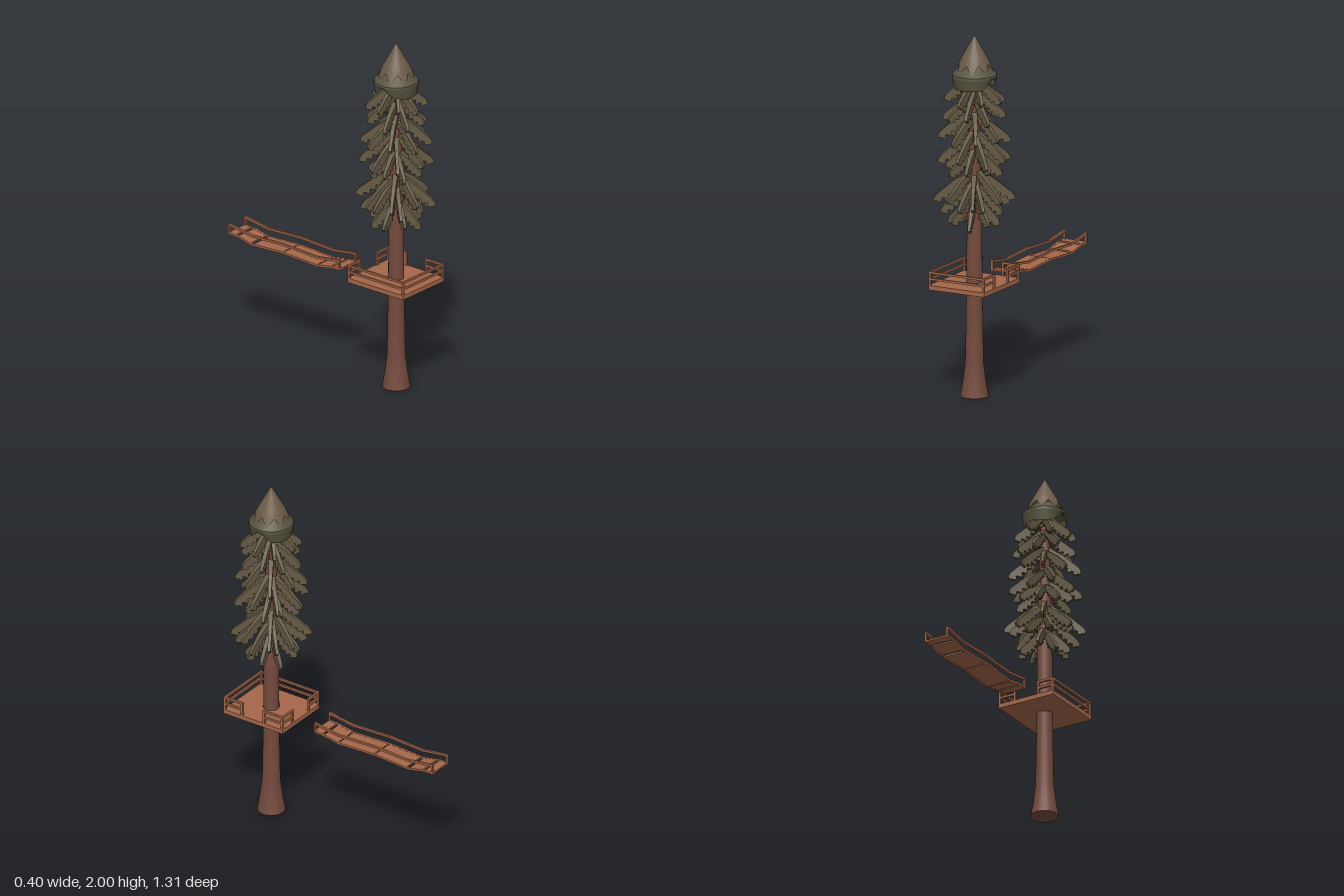
import * as THREE from 'three';

const mat = (color, extra = {}) => new THREE.MeshStandardMaterial({ color, ...extra });
const barkMat = mat(0x744a3e);
const woodMat = mat(0xa5674a);
const needleMat = mat(0x665b46, { flatShading: true });
const crownMat = mat(0x6b5a47, { flatShading: true, side: THREE.DoubleSide });
const collarMat = mat(0x55523e, { flatShading: true, side: THREE.DoubleSide });
const TREE_Z = 0.445;

function add(parent, name, geometry, material) {
  const mesh = new THREE.Mesh(geometry, material);
  mesh.name = name;
  parent.add(mesh);
  return mesh;
}

// Square bar between two points
function bar(parent, name, a, b, w = 0.012, h = w) {
  const from = new THREE.Vector3(...a), to = new THREE.Vector3(...b);
  const mesh = add(parent, name, new THREE.BoxGeometry(w, h, from.distanceTo(to)), woodMat);
  mesh.position.copy(from).lerp(to, 0.5);
  mesh.lookAt(to);
  return mesh;
}

// Ring surface: each row gives radius and height for an angle
function ringSurface(rows, segments) {
  const pos = [], idx = [];
  rows.forEach((row) => {
    for (let i = 0; i <= segments; i++) {
      const a = (i / segments) * Math.PI * 2;
      const [r, y] = row(a);
      pos.push(Math.cos(a) * r, y, Math.sin(a) * r);
    }
  });
  const n = segments + 1;
  for (let j = 0; j < rows.length - 1; j++) {
    for (let i = 0; i < segments; i++) {
      const p = j * n + i;
      idx.push(p, p + 1, p + n, p + 1, p + n + 1, p + n);
    }
  }
  const g = new THREE.BufferGeometry();
  g.setAttribute('position', new THREE.Float32BufferAttribute(pos, 3));
  g.setIndex(idx);
  g.computeVertexNormals();
  return g;
}

// Triangle wave: 0 at angle 0, 1 half a period later
const triangle = (a, count) => 1 - Math.abs(((a * count / (Math.PI * 2)) % 1) * 2 - 1);

// Drooping bough: upright blade with a blunt tip and a finely toothed lower edge
function boughGeometry(drop, reach) {
  const length = Math.hypot(drop, reach);
  const s = new THREE.Shape();
  s.moveTo(0.01, -0.02);
  s.lineTo(0.01, 0);
  s.lineTo(length * 0.5, 0.01);
  s.lineTo(length * 0.9, 0.006);
  s.lineTo(length, -0.004);
  s.lineTo(length + 0.002, -0.02);
  const teeth = 6;
  for (let i = 0; i < teeth; i++) {
    const u = length * (0.96 - i * 0.14);
    const depth = 0.042 + 0.008 * Math.sin(i * 1.1);
    s.lineTo(u, -depth * 0.72);
    s.lineTo(u - 0.005, -depth);
    s.lineTo(u - length * 0.08, -depth * 0.95);
    s.lineTo(u - length * 0.09, -depth * 0.7);
  }
  const g = new THREE.ExtrudeGeometry(s, { depth: 0.024, bevelEnabled: false });
  g.translate(0, 0, -0.012);
  const p = g.attributes.position;
  for (let i = 0; i < p.count; i++) p.setZ(i, p.getZ(i) * (1.25 - 0.6 * p.getX(i) / length));
  g.rotateZ(-Math.atan2(drop, reach));
  g.computeVertexNormals();
  return g;
}

function buildTree() {
  const tree = new THREE.Group();
  tree.name = 'tree';
  tree.position.z = TREE_Z;

  // Flared trunk
  const profile = [[0, 0], [0.077, 0], [0.077, 0.003], [0.062, 0.09], [0.05, 0.19], [0.046, 0.4],
    [0.043, 0.65], [0.041, 0.95], [0.036, 1.25], [0.028, 1.55], [0.016, 1.85], [0, 1.86]];
  add(tree, 'trunk', new THREE.LatheGeometry(profile.map(([r, y]) => new THREE.Vector2(r, y)), 20), barkMat);

  // Rings of boughs: root height, reach, tip height
  const rings = [[1.78, 0.175, 1.65], [1.69, 0.18, 1.555], [1.59, 0.2, 1.435],
    [1.48, 0.21, 1.32], [1.39, 0.165, 1.26], [1.27, 0.225, 1.1],
    [1.21, 0.2, 1.06], [1.12, 0.155, 0.965]];
  const count = 8;
  rings.forEach(([rootY, reach, tipY], k) => {
    const ring = new THREE.Group();
    ring.name = 'boughRing';
    tree.add(ring);
    const g = boughGeometry(rootY - tipY, reach);
    for (let i = 0; i < count; i++) {
      const bough = add(ring, 'bough', g, needleMat);
      bough.rotation.y = ((i + k / 3 + 0.07 * Math.sin(i * 5 + k)) / count) * Math.PI * 2;
      bough.position.y = rootY + 0.016 * Math.sin(i * 4 + k * 2);
      bough.scale.x = 0.96 + 0.04 * Math.sin(i * 3 + k);
    }
  });

  // Collar notched on both sides, under a pointed crown with a zigzag hem
  const collarHem = (a) => [0.112, 1.768 - 0.058 * Math.min(1, triangle(a, 2) * 2.3)];
  add(tree, 'crownCollar', ringSurface([
    () => [0.05, 1.85], () => [0.092, 1.81], () => [0.12, 1.785], () => [0.122, 1.772], collarHem,
  ], 48), collarMat);
  const crownHem = (a) => {
    const t = triangle(a, 8);
    return [0.085 + 0.021 * t, 1.845 - 0.047 * t];
  };
  add(tree, 'crown', ringSurface([
    () => [0.0005, 2], () => [0.075, 1.865], crownHem,
  ], 32), crownMat);
  return tree;
}

function buildPlatform() {
  const platform = new THREE.Group();
  platform.name = 'platform';
  const x0 = -0.175, x1 = 0.17, z0 = 0.25, z1 = 0.639;
  const deck = add(platform, 'deck', new THREE.BoxGeometry(x1 - x0, 0.025, z1 - z0), woodMat);
  deck.position.set((x0 + x1) / 2, 0.62, (z0 + z1) / 2);

  // Railing runs: whole along the front and one side, with openings on the others
  const l = x0 + 0.006, r = x1 - 0.006, b = z0 + 0.006, f = z1 - 0.006;
  const runs = [
    [[l, f], [r, f]], [[l, b], [l, f]],
    [[l, b], [-0.08, b]], [[0.07, b], [r, b]],
    [[r, b], [r, 0.375]], [[r, 0.52], [r, f]],
  ];
  runs.forEach(([p, q]) => {
    for (const y of [0.668, 0.704]) bar(platform, 'rail', [p[0], y, p[1]], [q[0], y, q[1]]);
    for (const [x, z] of [p, q]) {
      const post = add(platform, 'post', new THREE.BoxGeometry(0.012, 0.09, 0.012), woodMat);
      post.position.set(x, 0.665, z);
    }
  });
  return platform;
}

function buildBridge() {
  const bridge = new THREE.Group();
  bridge.name = 'bridge';
  const floorLine = [[0.12, 0.617], [0.06, 0.614], [-0.04, 0.596], [-0.28, 0.606], [-0.5, 0.594], [-0.605, 0.616], [-0.665, 0.617]];
  const railLine = [[0.12, 0.666], [-0.04, 0.643], [-0.28, 0.653], [-0.5, 0.643], [-0.665, 0.667]];
  // The bridge runs very slightly askew
  const centerX = (z) => -0.0105 - z * 0.006;

  // Continuous stringers, handrails and end posts on both sides
  for (const side of [-1, 1]) {
    const xAt = (z) => centerX(z) + side * 0.067;
    for (const [name, line] of [['stringer', floorLine], ['handrail', railLine]]) {
      for (let i = 0; i < line.length - 1; i++) {
        const [za, ya] = line[i], [zb, yb] = line[i + 1];
        bar(bridge, name, [xAt(za), ya, za], [xAt(zb), yb, zb], 0.013, 0.012);
      }
    }
    for (const z of [0.115, -0.66]) {
      const post = add(bridge, 'bridgePost', new THREE.BoxGeometry(0.013, 0.06, 0.01), woodMat);
      post.position.set(xAt(z), 0.641, z);
    }
  }

  // Deck boards with gaps at the joints
  const gaps = [0, 0.007, 0.004, 0.003, 0.011, 0.009, 0];
  for (let i = 0; i < floorLine.length - 1; i++) {
    const [a, b] = [floorLine[i], floorLine[i + 1]].map(([z, y]) => new THREE.Vector3(centerX(z), y, z));
    const dir = b.clone().sub(a).normalize();
    a.addScaledVector(dir, gaps[i]);
    b.addScaledVector(dir, -gaps[i + 1]);
    bar(bridge, 'bridgeBoard', a.toArray(), b.toArray(), 0.126, 0.01);
  }
  return bridge;
}

export function createModel() {
  const model = new THREE.Group();
  model.name = 'treePlatformWithBridge';
  model.add(buildTree(), buildPlatform(), buildBridge());
  return model;
}
